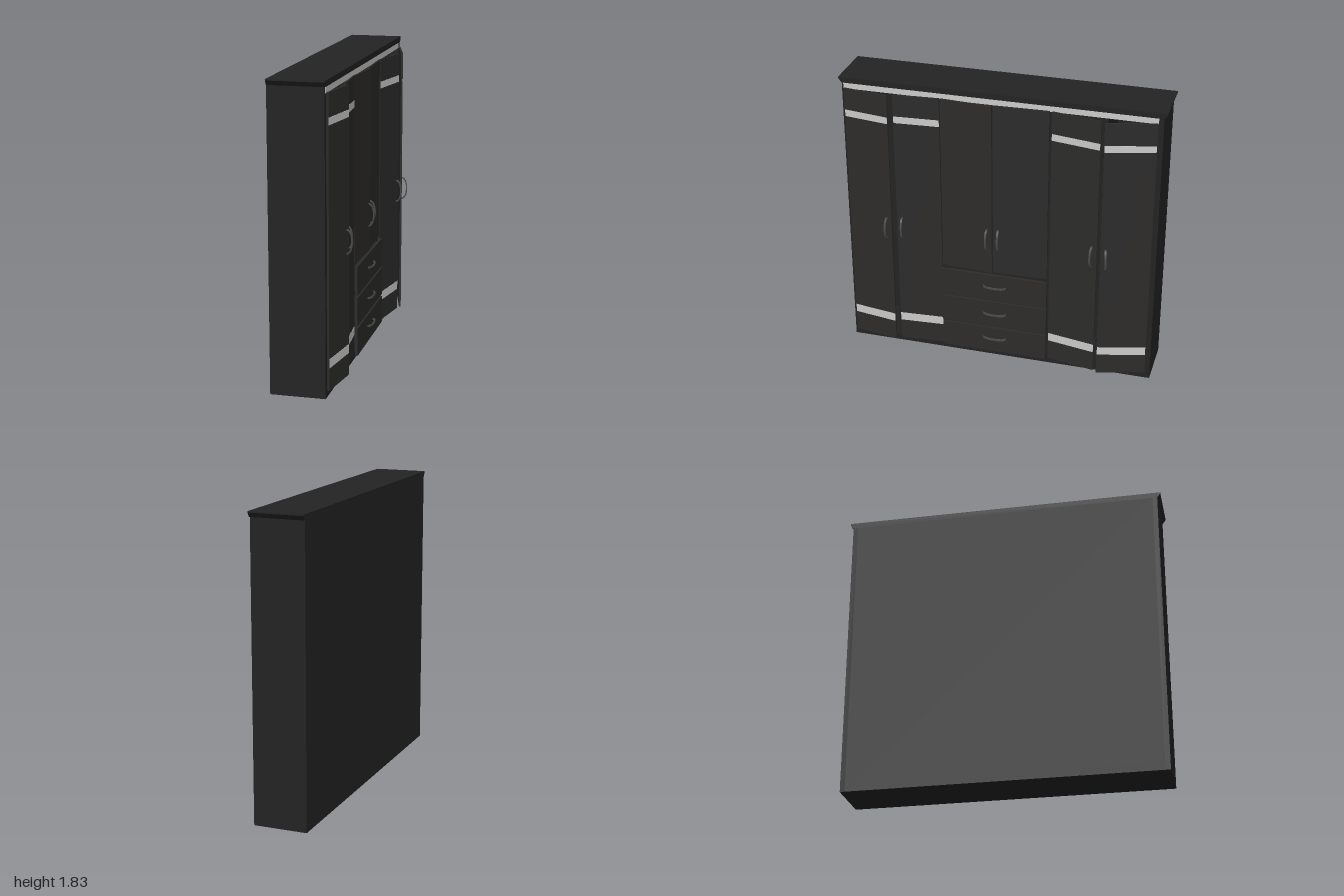
import * as THREE from 'three';

const mat = (color) => new THREE.MeshStandardMaterial({ color });
const bodyMat = mat(0x232323);
const frontMat = mat(0x2d2c2b);
const bandMat = mat(0xcccccc);
const handleMat = mat(0x4a4a4a);

// Box given by its minimum and maximum on each axis
function box(parent, name, material, [x0, x1], [y0, y1], [z0, z1]) {
  const mesh = new THREE.Mesh(new THREE.BoxGeometry(x1 - x0, y1 - y0, z1 - z0), material);
  mesh.position.set((x0 + x1) / 2, (y0 + y1) / 2, (z0 + z1) / 2);
  mesh.name = name;
  parent.add(mesh);
  return mesh;
}

// Bow handle: upright, feet at x = 0, bulging towards +x
function bowHandle(height, reach) {
  const r = height / 2, t = 0.008;
  const s = new THREE.Shape();
  s.moveTo(0, -r);
  s.bezierCurveTo(reach * 1.33, -r, reach * 1.33, r, 0, r);
  s.lineTo(0, r - t);
  s.bezierCurveTo((reach - t) * 1.33, r - t, (reach - t) * 1.33, t - r, 0, t - r);
  s.closePath();
  const geo = new THREE.ExtrudeGeometry(s, { depth: 0.012, bevelEnabled: false, curveSegments: 16 });
  geo.translate(0, 0, -0.006);
  const mesh = new THREE.Mesh(geo, handleMat);
  mesh.name = 'handle';
  return mesh;
}

// Door whose outer face runs from the hinge to the free edge, seen in plan as [x, z]
function door(name, hinge, free, yRange, hasBands) {
  const g = new THREE.Group();
  g.name = name;
  const dx = free[0] - hinge[0], dz = free[1] - hinge[1];
  const width = Math.hypot(dx, dz), out = Math.sign(dz), t = 0.012;
  g.position.set(hinge[0], 0, hinge[1]);
  g.rotation.y = Math.atan2(dx, dz);
  const across = (a, b) => (out > 0 ? [a, b] : [-b, -a]);
  box(g, 'doorPanel', frontMat, across(-t, 0), yRange, [0, width]);
  if (hasBands) {
    for (const y of [[0.18, 0.235], [1.582, 1.625]]) {
      box(g, 'doorBand', bandMat, across(-0.002, 0.001), y, [0.002, width - 0.002]);
    }
  }
  const handle = bowHandle(0.148, 0.038);
  handle.position.set(0, 0.862, width - 0.032);
  if (out < 0) handle.rotation.y = Math.PI;
  g.add(handle);
  return g;
}

export function createModel() {
  const model = new THREE.Group();
  model.name = 'wardrobe';

  // Carcass
  const carcass = new THREE.Group();
  carcass.name = 'carcass';
  model.add(carcass);
  const depth = [-0.23, 0.1];
  for (const s of [-1, 1]) {
    box(carcass, 'sidePanel', bodyMat, depth, [0, 1.795], [s * 0.965 - 0.015, s * 0.965 + 0.015]);
  }
  box(carcass, 'backPanel', bodyMat, [-0.23, -0.215], [0, 1.795], [-0.95, 0.95]);
  box(carcass, 'plinth', bodyMat, depth, [0, 0.045], [-0.95, 0.95]);
  box(carcass, 'topPanel', bodyMat, depth, [1.76, 1.795], [-0.95, 0.95]);
  for (const z of [0.66, 0.362, -0.318, -0.64]) {
    box(carcass, 'partition', bodyMat, [-0.215, 0.099], [0.045, 1.76], [z - 0.015, z + 0.015]);
  }
  box(carcass, 'drawerTopShelf', bodyMat, [-0.215, 0.103], [0.605, 0.628], [-0.315, 0.36]);
  for (const y of [0.422, 0.23]) {
    box(carcass, 'drawerRail', bodyMat, [0.05, 0.099], [y - 0.012, y + 0.012], [-0.303, 0.347]);
  }

  // Light strip below the cornice
  box(model, 'lightStrip', bandMat, [0.09, 0.102], [1.758, 1.796], [-0.95, 0.97]);

  // Flared cornice
  const profile = new THREE.Shape();
  [[-0.98, 1.795], [0.98, 1.795], [1, 1.822], [1, 1.83], [-1, 1.83], [-1, 1.822]]
    .forEach(([x, y], i) => (i ? profile.lineTo(x, y) : profile.moveTo(x, y)));
  const corniceGeo = new THREE.ExtrudeGeometry(profile, { depth: 0.335, bevelEnabled: false });
  corniceGeo.rotateY(Math.PI / 2).translate(-0.23, 0, 0);
  const cornice = new THREE.Mesh(corniceGeo, bodyMat);
  cornice.name = 'cornice';
  model.add(cornice);

  // Tall doors, each standing ajar by its own amount
  const tall = [0.045, 1.765];
  model.add(
    door('outerLeftDoor', [0.117, 0.963], [0.162, 0.677], tall, true),
    door('innerLeftDoor', [0.117, 0.365], [0.135, 0.65], tall, true),
    door('innerRightDoor', [0.117, -0.325], [0.173, -0.63], tall, true),
    door('outerRightDoor', [0.115, -0.95], [0.193, -0.655], tall, true)
  );

  // Short doors above the drawers
  const short = [0.63, 1.765];
  model.add(
    door('middleLeftDoor', [0.117, 0.36], [0.138, 0.036], short, false),
    door('middleRightDoor', [0.117, -0.31], [0.128, 0.03], short, false)
  );

  // Drawers
  for (const [y0, y1, yHandle] of [[0.43, 0.612, 0.53], [0.237, 0.416, 0.332], [0.047, 0.222, 0.15]]) {
    const drawer = new THREE.Group();
    drawer.name = 'drawer';
    box(drawer, 'drawerFront', frontMat, [0.122, 0.138], [y0, y1], [-0.315, 0.362]);
    box(drawer, 'drawerBox', bodyMat, [-0.18, 0.122], [y0 + 0.015, y1 - 0.015], [-0.295, 0.34]);
    const handle = bowHandle(0.15, 0.028);
    handle.rotation.x = Math.PI / 2;
    handle.position.set(0.138, yHandle, 0.02);
    drawer.add(handle);
    model.add(drawer);
  }
  return model;
}
